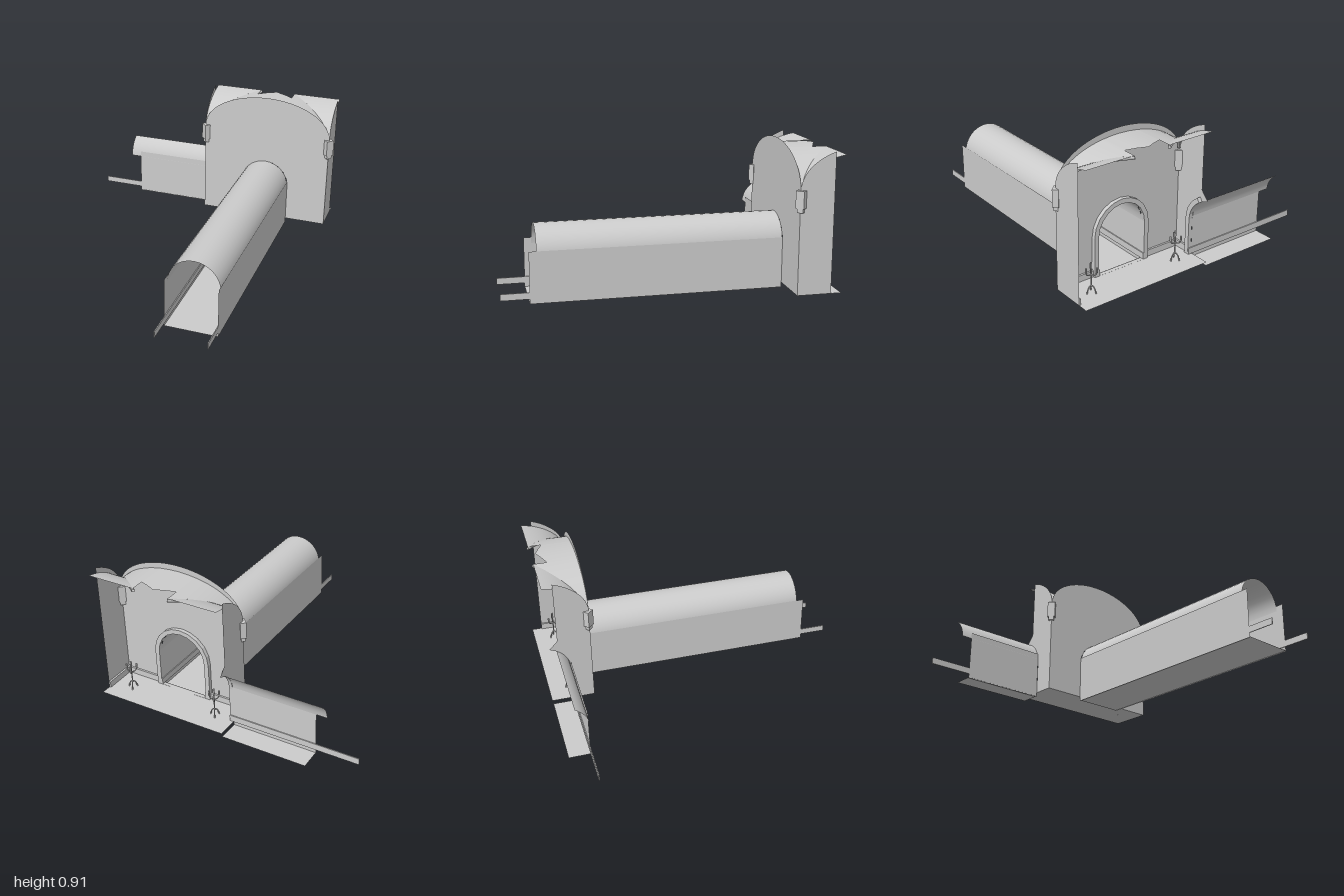
import * as THREE from 'three';

const CX = 0.4, HALF = 0.4375;          // room centre line and half width
const ZF = -0.71, DEPTH = 0.38;         // front wall plane and half depth of the bay
const FLOOR = 0.03;
const X0 = CX - HALF, X1 = CX + HALF;

export function createModel() {
  const model = new THREE.Group();
  const mat = new THREE.MeshStandardMaterial({ color: 0xcccccc, side: THREE.DoubleSide });

  const add = (name, geo, parent = model) => {
    const m = new THREE.Mesh(geo, mat);
    m.name = name;
    parent.add(m);
    return m;
  };
  const box = (name, x0, x1, y0, y1, z0, z1, parent) => add(name,
    new THREE.BoxGeometry(x1 - x0, y1 - y0, Math.abs(z1 - z0))
      .translate((x0 + x1) / 2, (y0 + y1) / 2, (z0 + z1) / 2), parent);

  // Thin surface between two polylines with the same number of points
  const sheet = (name, a, b, parent) => {
    const pos = [], idx = [];
    a.forEach((p, i) => {
      pos.push(...p, ...b[i]);
      if (i) { const k = 2 * i; idx.push(k - 2, k, k - 1, k - 1, k, k + 1); }
    });
    const g = new THREE.BufferGeometry();
    g.setAttribute('position', new THREE.Float32BufferAttribute(pos, 3));
    g.setIndex(idx);
    g.computeVertexNormals();
    return add(name, g, parent);
  };
  const range = (n, f) => Array.from({ length: n + 1 }, (_, i) => f(i / n));

  // Height of wall arch and of the lower vault, u = 0 at crown and 1 at springing
  const round = u => Math.sqrt(Math.max(0, 1 - u * u));
  const wallTop = u => 0.66 + 0.247 * round(u);
  const vault = u => 0.64 + 0.229 * round(u);
  const uOfZ = z => 1 - (ZF - z) / DEPTH;

  // Front wall with arched doorway
  const R = 0.165, SPRING = 0.28;
  const archPath = (shape, r, bottom) => {
    shape.moveTo(CX + r, bottom);
    range(10, t => shape.lineTo(CX + r * Math.cos(Math.PI * t), SPRING + r * Math.sin(Math.PI * t)));
    shape.lineTo(CX - r, bottom);
    shape.closePath();
    return shape;
  };
  const wall = new THREE.Shape();
  wall.moveTo(X0, FLOOR);
  wall.lineTo(X1, FLOOR);
  range(40, t => wall.lineTo(CX + HALF * Math.cos(Math.PI * t), wallTop(Math.cos(Math.PI * t))));
  wall.closePath();
  wall.holes.push(archPath(new THREE.Path(), R, FLOOR + 0.002));
  add('frontWall', new THREE.ShapeGeometry(wall).translate(0, 0, ZF));

  // Raised trim on the inside of the doorway
  const trim = archPath(new THREE.Shape(), R + 0.03, FLOOR);
  trim.holes.push(archPath(new THREE.Path(), R, FLOOR + 0.0005));
  add('doorwayTrim', new THREE.ExtrudeGeometry(trim, { depth: 0.025, bevelEnabled: false })
    .translate(0, 0, ZF - 0.025));

  // Solid side wall
  const zs = range(14, t => ZF - 0.21 * t * t);
  sheet('leftWall', zs.map(z => [X1, FLOOR, z]), zs.map(z => [X1, wallTop(uOfZ(z)), z]));

  // Side wall broken off above the second doorway
  const SZ = -1.01, SY = 0.26;
  const sideArch = z => SY + Math.sqrt(Math.max(0, R * R - (z - SZ) ** 2));
  const zSide = [...range(10, t => ZF - 0.135 * t * t), ...range(6, t => -0.845 - 0.075 * t)];
  const low = zSide.map((z, i) => [X0, i <= 10 ? FLOOR : sideArch(z), z]);
  const high = zSide.map(z => [X0, wallTop(uOfZ(z)), z]);
  low.push([X0, sideArch(-0.92), -0.92], [X0, sideArch(-0.97), -0.97]);
  high.push([X0, 0.475, -0.92], [X0, 0.422, -0.97]);
  sheet('rightWall', low, high);

  // Trim around the remaining part of the second doorway
  const sideTrim = new THREE.Shape();
  const arc = (r, t) => [SZ + r * Math.cos(t), SY + r * Math.sin(t)];
  sideTrim.moveTo(SZ + R, FLOOR);
  range(5, t => sideTrim.lineTo(...arc(R, 1.02 * t)));
  range(5, t => sideTrim.lineTo(...arc(R + 0.03, 1.02 * (1 - t))));
  sideTrim.lineTo(SZ + R + 0.03, FLOOR);
  add('sideDoorwayTrim', new THREE.ExtrudeGeometry(sideTrim, { depth: 0.025, bevelEnabled: false })
    .rotateY(-Math.PI / 2).translate(X0 + 0.025, 0, 0));

  // Front web of the groin vault with its broken rear edge
  const ss = [...range(14, t => -HALF + (HALF - 0.12) * t * t), -0.12, -0.06, 0, 0.06, 0.12,
    ...range(14, t => HALF - (HALF - 0.12) * (1 - t) ** 2)];
  const webEnd = (s, i) => (i > 14 && i < 20)
    ? -0.955 + 0.055 * Math.abs(s) / 0.12
    : ZF - DEPTH * (1 - Math.abs(s) / HALF);
  sheet('frontVaultWeb',
    ss.map(s => [CX + s, vault(s / HALF), ZF]),
    ss.map((s, i) => [CX + s, vault(s / HALF), webEnd(s, i)]));

  // Side webs, diagonal ribs, corner corbels and candle stands in mirrored pairs
  for (const side of [-1, 1]) {
    const tag = side > 0 ? 'left' : 'right';
    const wz = range(16, t => ZF - 0.276 * t * t);
    sheet(tag + 'VaultWeb',
      wz.map(z => [CX + side * HALF, vault(uOfZ(z)), z]),
      wz.map(z => [CX + side * HALF * uOfZ(z), vault(uOfZ(z)), z]));

    const rib = new THREE.CatmullRomCurve3(range(12, t => {
      const z = ZF - 0.01 - 0.268 * t * t, u = uOfZ(z);
      return new THREE.Vector3(CX + side * HALF * u, vault(u) - 0.012, z);
    }));
    add(tag + 'VaultRib', new THREE.TubeGeometry(rib, 24, 0.011, 4));

    const corbel = new THREE.Group();
    corbel.name = tag + 'Corbel';
    box('corbelBlock', -0.026, 0.026, 0.555, 0.66, -0.018, 0.018, corbel);
    box('corbelFoot', -0.018, 0.018, 0.53, 0.555, -0.013, 0.013, corbel);
    corbel.position.set(CX + side * (HALF - 0.002), 0, ZF - 0.004);
    corbel.rotation.y = side * Math.PI / 4;
    model.add(corbel);

    const stand = new THREE.Group();
    stand.name = tag + 'CandleStand';
    const rod = (name, pts, r = 0.004) => add(name, new THREE.TubeGeometry(
      new THREE.CatmullRomCurve3(pts.map(p => new THREE.Vector3(...p))), 6, r, 5), stand);
    rod('stem', [[0, 0.04, 0], [0, 0.16, 0]]);
    add('candle', new THREE.CylinderGeometry(0.006, 0.006, 0.035, 6).translate(0, 0.175, 0), stand);
    for (let k = 0; k < 3; k++) {
      const c = Math.cos(k * 2 * Math.PI / 3), s = Math.sin(k * 2 * Math.PI / 3);
      rod('leg', [[0, 0.05, 0], [0.018 * c, 0.035, 0.018 * s], [0.03 * c, 0, 0.03 * s]]);
      rod('arm', [[0, 0.115, 0], [0.025 * c, 0.118, 0.025 * s], [0.035 * c, 0.135, 0.035 * s]]);
      add('candle', new THREE.CylinderGeometry(0.006, 0.006, 0.03, 6)
        .translate(0.035 * c, 0.15, 0.035 * s), stand);
    }
    stand.position.set(CX + side * 0.305, FLOOR, -0.85);
    model.add(stand);
  }

  // Floors
  const floor = (name, x0, x1, z0, z1, y) =>
    sheet(name, [[x0, y, z0], [x1, y, z0]], [[x0, y, z1], [x1, y, z1]]);
  floor('roomFloor', X0, X1, ZF, -0.985, FLOOR);
  floor('tunnelFloor', CX - R, CX + R, 0.83, ZF, 0.005);
  floor('sideTunnelFloor', -0.59, X0, -0.845, -0.98, 0.005);

  // Front tunnel: side walls and barrel hood
  for (const side of [-1, 1]) {
    const x = CX + side * R;
    sheet('tunnelWall', [[x, 0, ZF], [x, 0, 0.83]], [[x, 0.315, ZF], [x, 0.315, 0.83]]);
  }
  const hood = range(16, t => [CX + 0.163 * Math.cos(Math.PI * t), SPRING + R * Math.sin(Math.PI * t)]);
  sheet('tunnelHood', hood.map(p => [...p, ZF]), hood.map(p => [...p, 0.785]));

  // Side tunnel: one wall and part of its hood
  sheet('sideTunnelWall', [[X0, 0, -0.846], [-0.59, 0, -0.846]],
    [[X0, 0.315, -0.846], [-0.59, 0.315, -0.846]]);
  const sideHood = range(8, t => arc(R, 0.1 + 0.96 * t));
  sheet('sideTunnelHood', sideHood.map(([z, y]) => [X0, y, z]), sideHood.map(([z, y]) => [-0.66, y, z]));

  // Skirting strips that run through the tunnels and around the room
  const T = 0.006, H = 0.07;
  box('tunnelSkirting', CX - R, CX - R + T, FLOOR, H, ZF - 0.025, 1);
  box('tunnelSkirting', CX + R - T, CX + R, FLOOR, H, ZF - 0.025, 1);
  box('wallSkirting', X0, CX - R - 0.03, FLOOR, H, ZF - 0.012, ZF);
  box('wallSkirting', CX + R + 0.03, X1, FLOOR, H, ZF - 0.012, ZF);
  box('wallSkirting', X0, X0 + 0.012, FLOOR, H, -0.815, ZF);
  box('wallSkirting', X1 - 0.012, X1, FLOOR, H, -0.92, ZF);
  box('sideTunnelSkirting', -0.865, X0 + 0.025, FLOOR, H, -0.852, -0.846);

  return model;
}
